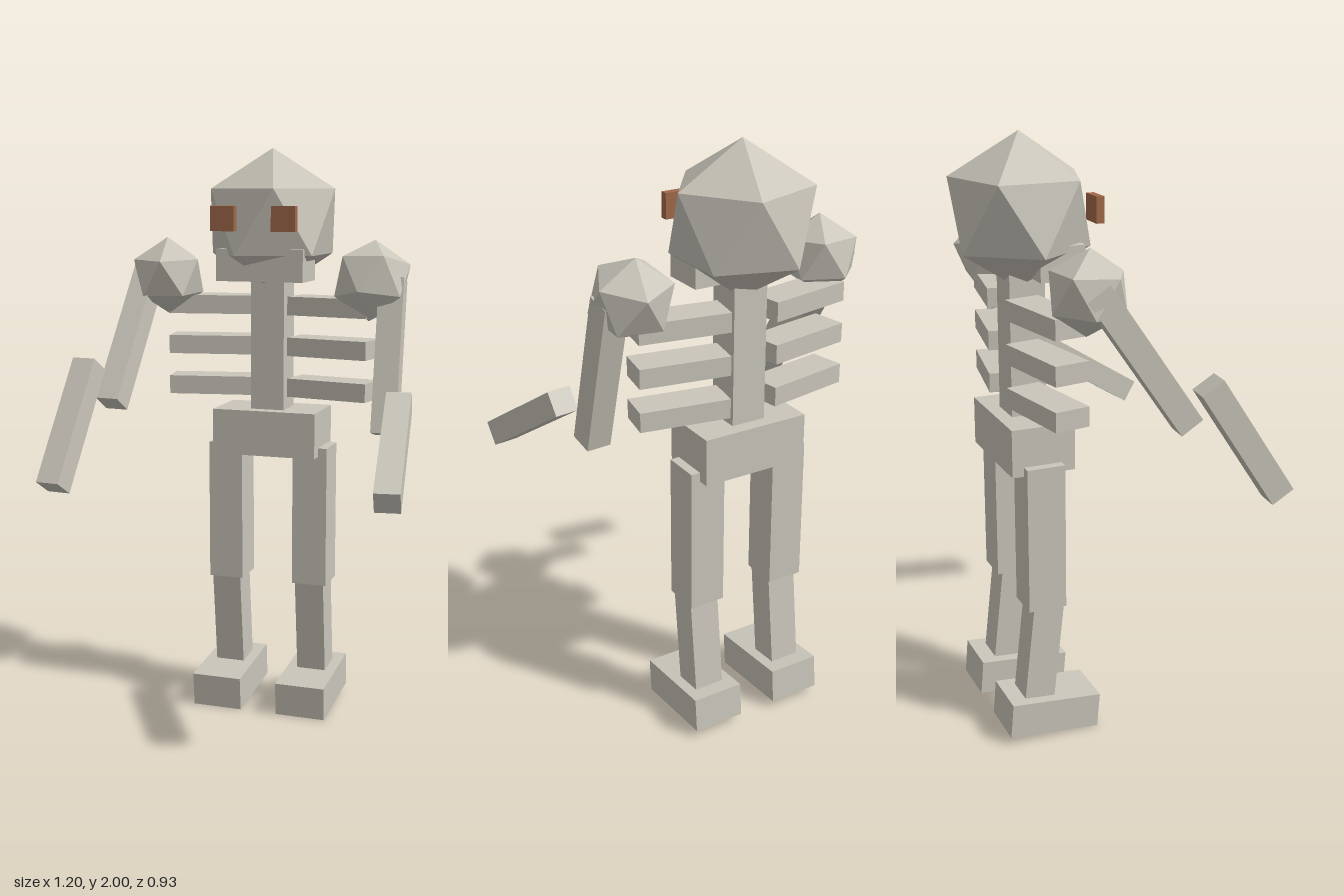
import * as THREE from 'three';

export function createModel() {
  const bone = new THREE.MeshStandardMaterial({ color: 0xc9c5ba, flatShading: true });
  bone.name = 'bone';
  const rust = new THREE.MeshStandardMaterial({ color: 0xa0694a, flatShading: true });
  rust.name = 'rust eyes';

  const model = new THREE.Group();
  model.name = 'skeleton';

  // Torso, head and legs share a slight turn to the left
  const body = new THREE.Group();
  body.name = 'body';
  body.position.set(-0.035, 0, -0.25);
  body.rotation.y = 0.04;
  model.add(body);

  function add(parent, name, geometry, position, rotation = [0, 0, 0], material = bone) {
    const mesh = new THREE.Mesh(geometry, material);
    mesh.name = name;
    mesh.position.set(...position);
    mesh.rotation.set(...rotation);
    parent.add(mesh);
    return mesh;
  }
  const box = (w, h, d) => new THREE.BoxGeometry(w, h, d);

  // Icosahedron standing on one corner
  const ball = (radius) =>
    new THREE.IcosahedronGeometry(radius, 0).rotateX(-Math.atan((1 + Math.sqrt(5)) / 2));

  // Square beam running between two points
  function beam(name, from, to, width) {
    const a = new THREE.Vector3(...from);
    const b = new THREE.Vector3(...to);
    const mid = a.clone().lerp(b, 0.5);
    const mesh = add(model, name, box(width, width, a.distanceTo(b)), mid.toArray());
    mesh.lookAt(b);
  }

  // Head and jaw
  add(body, 'skull', ball(0.25), [0, 1.75, 0], [0, Math.PI / 2, 0]);
  add(body, 'jaw', box(0.31, 0.11, 0.15), [0.002, 1.605, 0.085]);

  // Spine and pelvis
  add(body, 'spine', box(0.12, 0.62, 0.12), [0, 1.3, 0]);
  add(body, 'pelvis', box(0.375, 0.16, 0.215), [0, 1.015, 0]);

  for (const side of [1, -1]) {
    const label = side > 0 ? 'left' : 'right';

    add(body, label + 'Eye', box(0.084, 0.084, 0.026),
      [side * 0.107, 1.763, 0.212], [0, 0, 0], rust);

    // Ribs swept forward at their outer ends
    for (const y of [1.46, 1.317, 1.172]) {
      add(body, label + 'Rib', box(0.3, 0.065, 0.12),
        [side * 0.222, y, 0], [0, -side * 0.175, 0]);
    }

    // Legs
    add(body, label + 'Thigh', box(0.125, 0.5, 0.13), [side * 0.157, 0.716, -0.004]);
    add(body, label + 'Shin', box(0.105, 0.38, 0.105), [side * 0.157, 0.315, -0.013], [0.11, 0, 0]);
    add(body, label + 'Foot', box(0.18, 0.12, 0.315), [side * 0.157, 0.073, 0.01], [0.085, 0, 0]);
  }

  // Shoulders
  add(model, 'leftShoulder', ball(0.14), [0.333, 1.555, -0.23], [-0.25, Math.PI - 0.1, 0]);
  add(model, 'rightShoulder', ball(0.135), [-0.392, 1.56, -0.155], [0.05, 2.7, 0]);

  // Arms, posed separately
  beam('leftUpperArm', [0.405, 1.56, -0.235], [0.42, 1.05, -0.105], 0.085);
  beam('leftForearm', [0.486, 1.175, -0.037], [0.556, 0.925, 0.352], 0.083);
  beam('rightUpperArm', [-0.465, 1.58, -0.16], [-0.478, 1.14, 0.14], 0.083);
  beam('rightForearm', [-0.54, 1.28, 0.177], [-0.553, 0.9, 0.425], 0.083);

  return model;
}
